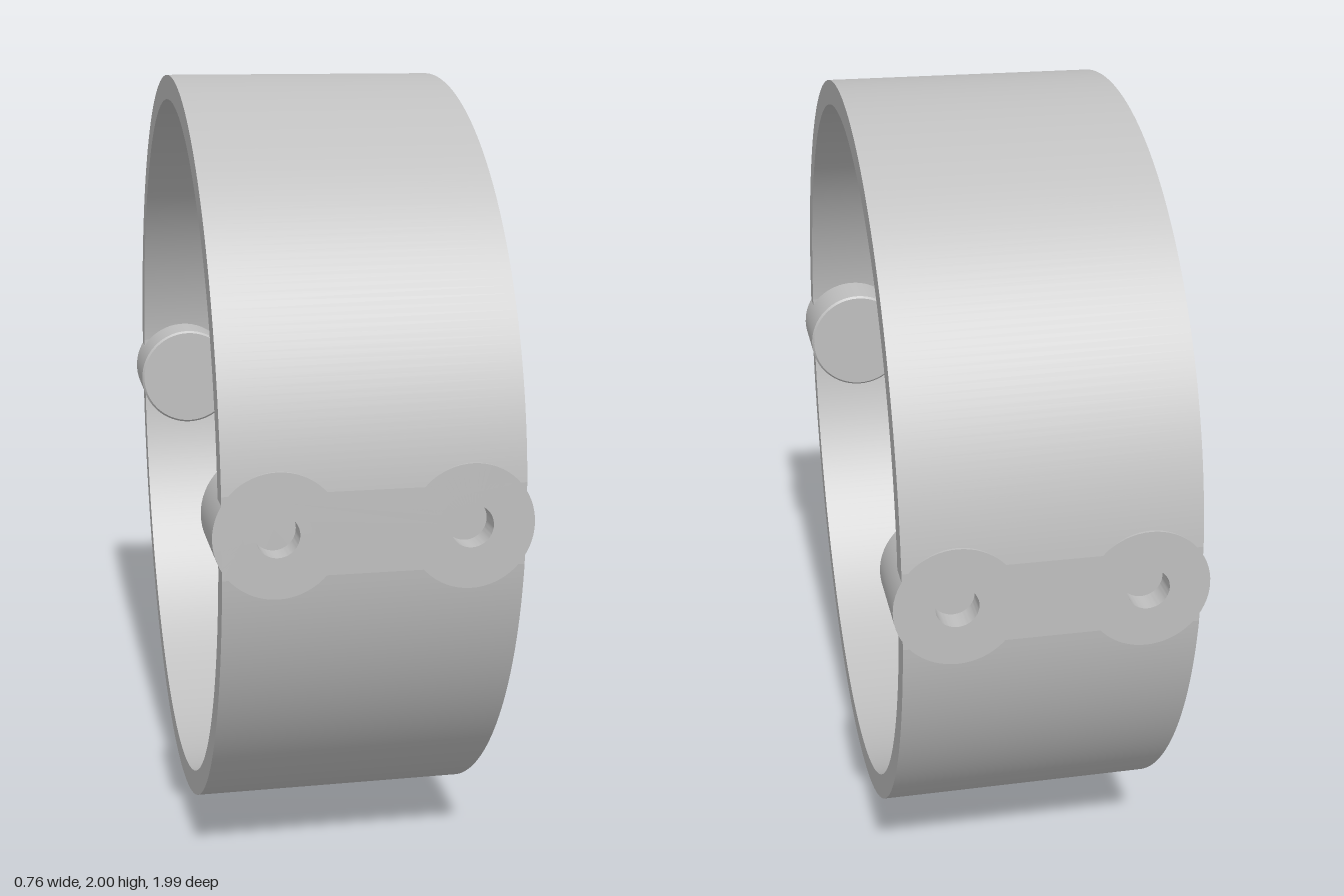
import * as THREE from 'three';
import { toCreasedNormals } from 'three/addons/utils/BufferGeometryUtils.js';

const OUTER = 1, INNER = 0.935, WIDTH = 0.72;
const FLAT = 0.1;                                   // half height of the flat bands
const FACE = Math.sqrt(OUTER ** 2 - FLAT ** 2);     // z of the outer flat
const BACK = Math.sqrt(INNER ** 2 - FLAT ** 2);     // z of the inner flat
const POST_X = 0.23, POST_R = 0.152, POST_END = 0.78;
const HOLE_R = 0.052, HOLE_DEPTH = 0.06;

export function createModel() {
  const model = new THREE.Group();
  model.name = 'clampRing';
  const metal = new THREE.MeshStandardMaterial({ color: 0xbfbfbf });
  metal.name = 'greyMetal';

  const add = (name, geometry, parent) => {
    const mesh = new THREE.Mesh(geometry, metal);
    mesh.name = name;
    parent.add(mesh);
    return mesh;
  };

  // Half band: an arc between the two flats, extruded across the width
  const a = Math.asin(FLAT / OUTER), b = Math.asin(FLAT / INNER);
  const arc = new THREE.Shape();
  arc.absarc(0, 0, OUTER, a, Math.PI - a, false);
  arc.absarc(0, 0, INNER, Math.PI - b, b, true);
  const band = toCreasedNormals(
    new THREE.ExtrudeGeometry(arc, { depth: WIDTH, bevelEnabled: false, curveSegments: 72 })
      .translate(0, 0, -WIDTH / 2).rotateY(Math.PI / 2), 0.3);

  // Flat plate joining the half bands, opened where the posts pass through
  const outline = new THREE.Shape();
  outline.moveTo(-WIDTH / 2, -FLAT);
  outline.lineTo(WIDTH / 2, -FLAT);
  outline.lineTo(WIDTH / 2, FLAT);
  outline.lineTo(-WIDTH / 2, FLAT);
  for (const s of [-1, 1]) {
    const hole = new THREE.Path();
    hole.absarc(s * POST_X, 0, 0.08, 0, Math.PI * 2, true);
    outline.holes.push(hole);
  }
  const plate = new THREE.ExtrudeGeometry(outline,
    { depth: FACE - BACK, bevelEnabled: false, curveSegments: 24 }).translate(0, 0, BACK);

  // Round post with a blind hole in its outer end
  const profile = [
    [0, POST_END], [POST_R - 0.006, POST_END], [POST_R, POST_END + 0.006],
    [POST_R, FACE], [HOLE_R, FACE],
    [HOLE_R, FACE - HOLE_DEPTH], [0, FACE - HOLE_DEPTH],
  ].map(([r, h]) => new THREE.Vector2(r, h));
  const post = toCreasedNormals(
    new THREE.LatheGeometry(profile, 64).rotateX(Math.PI / 2), 0.5);

  add('upperBand', band, model);
  add('lowerBand', band, model).rotation.x = Math.PI;

  // Front and back sets of plate and posts
  for (const [name, turn] of [['front', 0], ['back', Math.PI]]) {
    const side = new THREE.Group();
    side.name = name + 'Fixing';
    side.rotation.y = turn;
    add(name + 'FlatPlate', plate, side);
    for (const s of [-1, 1]) add(name + 'Post', post, side).position.x = s * POST_X;
    model.add(side);
  }

  model.position.y = OUTER;
  const root = new THREE.Group();
  root.add(model);
  return root;
}
